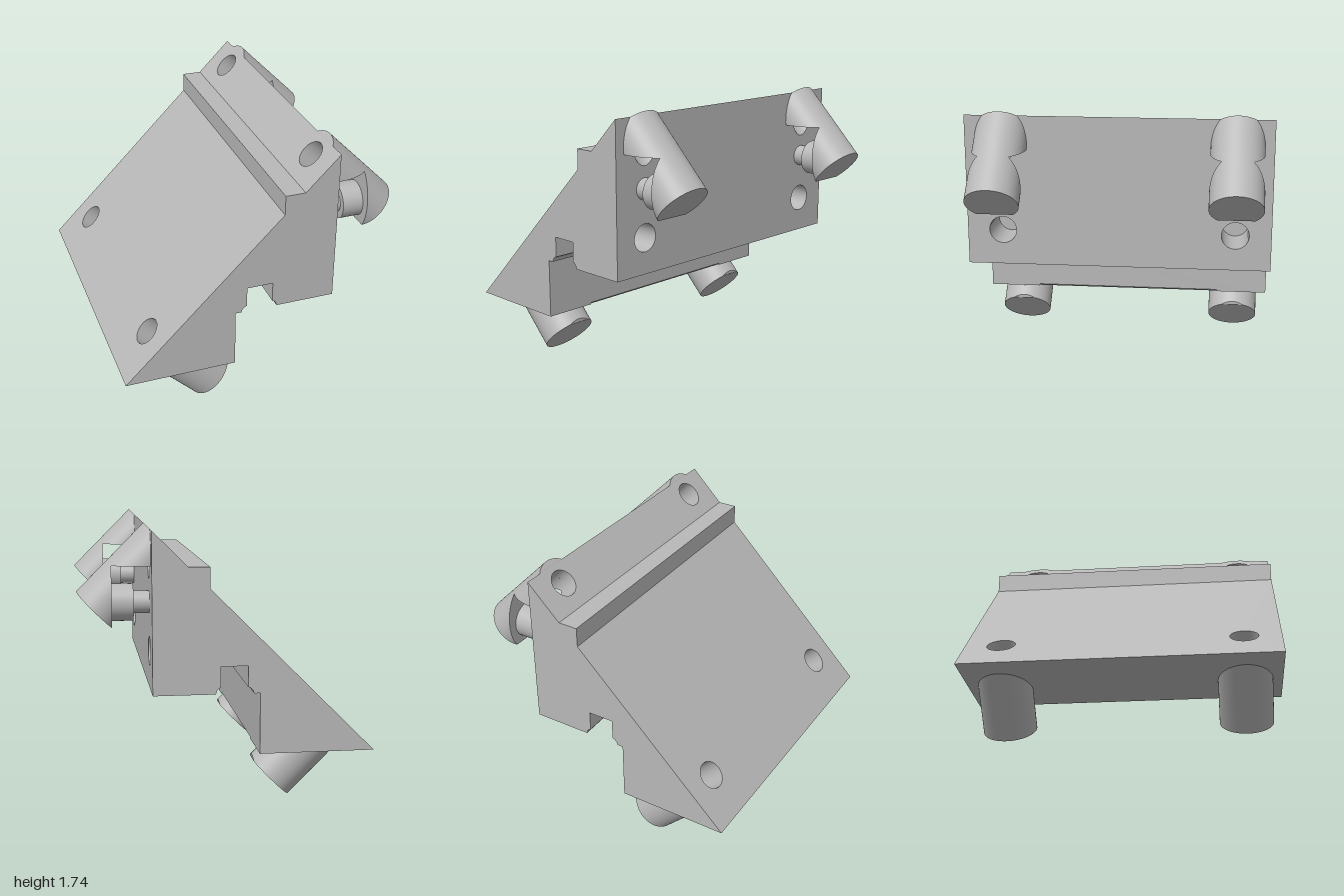
import * as THREE from 'three';
import { toCreasedNormals } from 'three/addons/utils/BufferGeometryUtils.js';

const Q = Math.SQRT1_2;
const BOSS_R = 0.1725, BORE_R = 0.09, BOSS_L = 0.587, BOSS_Z = 0.765;
const CHAMFER = 0.013, CHAMFER_Z = 0.65;

// Side profile (x, y), counter-clockwise
const PROFILE = [
  [-0.915, 0.33], [-0.19, 0.33], [-0.19, 0.715], [-0.152, 0.715], [-0.144, 0.735], [-0.13, 0.75],
  [-0.115, 0.755], [-0.115, 0.887], [0.055, 0.887], [0.055, 0.755], [0.068, 0.75], [0.08, 0.735],
  [0.085, 0.715], [0.47, 0.715], [0.47, 1.715], [0.25, 1.495], [0.12, 1.495], [0.12, 1.365],
].map(([x, y]) => new THREE.Vector2(x, y));

function ellipsePath(x, y, rx, ry) {
  const p = new THREE.Path();
  p.absellipse(x, y, rx, ry, 0, Math.PI * 2, true);
  return p;
}

export function createModel() {
  const model = new THREE.Group();
  const grey = new THREE.MeshStandardMaterial({ color: 0xb8b8b8, side: THREE.DoubleSide });
  grey.name = 'plain grey';

  const add = (parent, geometry, name) => {
    const mesh = new THREE.Mesh(geometry, grey);
    mesh.name = name;
    parent.add(mesh);
    return mesh;
  };

  // One flat wall of the body: local x runs along the profile edge, y along z, z outward
  function wall(i, name) {
    const a = PROFILE[i], b = PROFILE[(i + 1) % PROFILE.length];
    const len = a.distanceTo(b), dx = (b.x - a.x) / len, dy = (b.y - a.y) / len;
    const pts = [[0, -1], [len, -1]];
    if (i === 0) pts.push([len, -CHAMFER_Z], [len - CHAMFER, -CHAMFER_Z], [len - CHAMFER, CHAMFER_Z], [len, CHAMFER_Z]);
    pts.push([len, 1], [0, 1]);
    if (i === 1) pts.push([0, CHAMFER_Z], [CHAMFER, CHAMFER_Z], [CHAMFER, -CHAMFER_Z], [0, -CHAMFER_Z]);
    const shape = new THREE.Shape(pts.map(([x, y]) => new THREE.Vector2(x, y)));
    const group = new THREE.Group();
    group.name = name;
    const matrix = new THREE.Matrix4().makeBasis(
      new THREE.Vector3(dx, dy, 0), new THREE.Vector3(0, 0, 1), new THREE.Vector3(dy, -dx, 0));
    matrix.setPosition(a.x, a.y, 0);
    matrix.decompose(group.position, group.quaternion, group.scale);
    model.add(group);
    const at = (x, y) => (x - a.x) * dx + (y - a.y) * dy;
    return { shape, group, at, finish: () => add(group, new THREE.ShapeGeometry(shape, 20), name + 'Face') };
  }

  // Open tube sunk into a wall, with an optional floor
  function bore(w, s, z, depth, floor = true, skew = 0) {
    const g = new THREE.CylinderGeometry(BORE_R, BORE_R, depth, 40, 1, true);
    g.rotateX(Math.PI / 2).translate(0, 0, -depth / 2);
    const p = g.attributes.position;
    for (let i = 0; i < p.count; i++) {
      if (p.getZ(i) < -depth / 2) p.setZ(i, p.getZ(i) - skew * p.getX(i));
    }
    add(w.group, g, 'bore').position.set(s, z, 0);
    if (floor) add(w.group, new THREE.CircleGeometry(BORE_R, 40), 'boreFloor').position.set(s, z, -depth);
  }

  // Body walls, with their holes
  PROFILE.forEach((_, i) => {
    const w = wall(i, 'bodyWall' + (i + 1));
    for (const z of [-BOSS_Z, BOSS_Z]) {
      if (i === 17) { // long slope
        const s = w.at(-0.705, 0.54);
        w.shape.holes.push(ellipsePath(s, z, BORE_R, BORE_R));
        bore(w, s, z, 0.45);
      }
      if (i === 14) { // short slope, bore leaves through the upright wall
        const s = w.at(0.378, 1.623);
        w.shape.holes.push(ellipsePath(s, z, BORE_R, BORE_R));
        bore(w, s, z, 0.13, false, 1);
      }
      if (i === 13) { // upright wall
        const s = w.at(0.47, 0.95);
        w.shape.holes.push(ellipsePath(s, z, BORE_R, BORE_R));
        bore(w, s, z, 0.3);
        w.shape.holes.push(ellipsePath(w.at(0.47, 1.531), z, BORE_R / Q, BORE_R));
      }
    }
    if (i === 12) { // small square pocket in the underside
      const s = w.at(0.29, 0.715), h = 0.085, depth = 0.08;
      const sq = [[-h, -h], [-h, h], [h, h], [h, -h]];
      w.shape.holes.push(new THREE.Path(sq.map(([x, y]) => new THREE.Vector2(s + x, y))));
      for (let k = 0; k < 4; k++) {
        const side = new THREE.PlaneGeometry(2 * h, depth).rotateX(Math.PI / 2);
        side.translate(0, h, -depth / 2).rotateZ(k * Math.PI / 2);
        add(w.group, side, 'pocketSide').position.x = s;
      }
      add(w.group, new THREE.PlaneGeometry(2 * h, 2 * h), 'pocketFloor').position.set(s, 0, -depth);
    }
    w.finish();
  });

  // Chamfer on the lower edge
  const chamfer = add(model, new THREE.PlaneGeometry(CHAMFER / Q, 2 * CHAMFER_Z), 'lowerChamfer');
  chamfer.geometry.rotateX(Math.PI / 2).rotateZ(Math.PI / 4);
  chamfer.position.set(-0.19 - CHAMFER / 2, 0.33 + CHAMFER / 2, 0);

  // Body ends
  for (const z of [-1, 1]) {
    add(model, new THREE.ShapeGeometry(new THREE.Shape(PROFILE)), 'bodyEnd').position.z = z;
  }

  // Piece of a slanted round boss: u is the height across the axis, lo..hi the span along it
  function bossPiece(parent, cx, cy, uMin, uMax, lo, hi, boreR, name) {
    const steps = 40, pos = [], a0 = Math.acos(uMax / BOSS_R), a1 = Math.acos(uMin / BOSS_R);
    for (const sign of [-1, 1]) {
      const rings = [];
      for (let j = 0; j <= steps; j++) {
        const u = BOSS_R * Math.cos(a1 + (a0 - a1) * j / steps);
        const w = Math.sqrt(Math.max(0, BOSS_R ** 2 - u * u));
        const v = Math.sqrt(Math.max(0, boreR ** 2 - u * u));
        const l = lo(u), h = Math.max(l, hi(u));
        rings.push([[l, v], [h, v], [h, w], [l, w]].map(([t, z]) => [cx + (u + t) * Q, cy + (u - t) * Q, sign * z]));
      }
      for (let j = 0; j < steps; j++) {
        for (let k = 0; k < 4; k++) {
          const n = (k + 1) % 4;
          const a = rings[j][k], b = rings[j][n], c = rings[j + 1][n], d = rings[j + 1][k];
          const tris = sign < 0 ? [a, b, c, a, c, d] : [a, c, b, a, d, c];
          tris.forEach((p) => pos.push(...p));
        }
      }
    }
    const g = new THREE.BufferGeometry();
    g.setAttribute('position', new THREE.Float32BufferAttribute(pos, 3));
    add(parent, toCreasedNormals(g, 0.5), name);
  }

  const end = () => BOSS_L;
  for (const z of [-BOSS_Z, BOSS_Z]) {
    // Upper boss, with a rectangular gap between it and the wall
    const upper = new THREE.Group();
    upper.name = 'upperBoss';
    upper.position.z = z;
    model.add(upper);
    bossPiece(upper, 0.378, 1.623, -0.0255, 0.1407, (u) => Math.max(0, 0.13 - u), (u) => 0.181 + u, BORE_R, 'bossRoof');
    bossPiece(upper, 0.378, 1.623, -0.1246, 0.1407, (u) => 0.4624 - u, end, 0, 'bossTip');
    bossPiece(upper, 0.378, 1.623, 0.1407, BOSS_R, () => 0, end, 0, 'bossBack');

    // Lower boss under the long slope
    const lower = new THREE.Group();
    lower.name = 'lowerBoss';
    lower.position.z = z;
    model.add(lower);
    bossPiece(lower, -0.705, 0.54, -BOSS_R, BOSS_R, (u) => u + 0.297, (u) => Math.min(BOSS_L, 0.7425 - u), 0, 'lowerBossBody');

    // Screw bridging the gap
    for (const [r, x0, x1, name] of [[0.07, 0.47, 0.57, 'screwShaft'], [0.115, 0.57, 0.705, 'screwHead']]) {
      const g = new THREE.CylinderGeometry(r, r, x1 - x0, 40).rotateZ(Math.PI / 2);
      add(model, g, name).position.set((x0 + x1) / 2, 1.26, z);
    }
  }
  return model;
}
